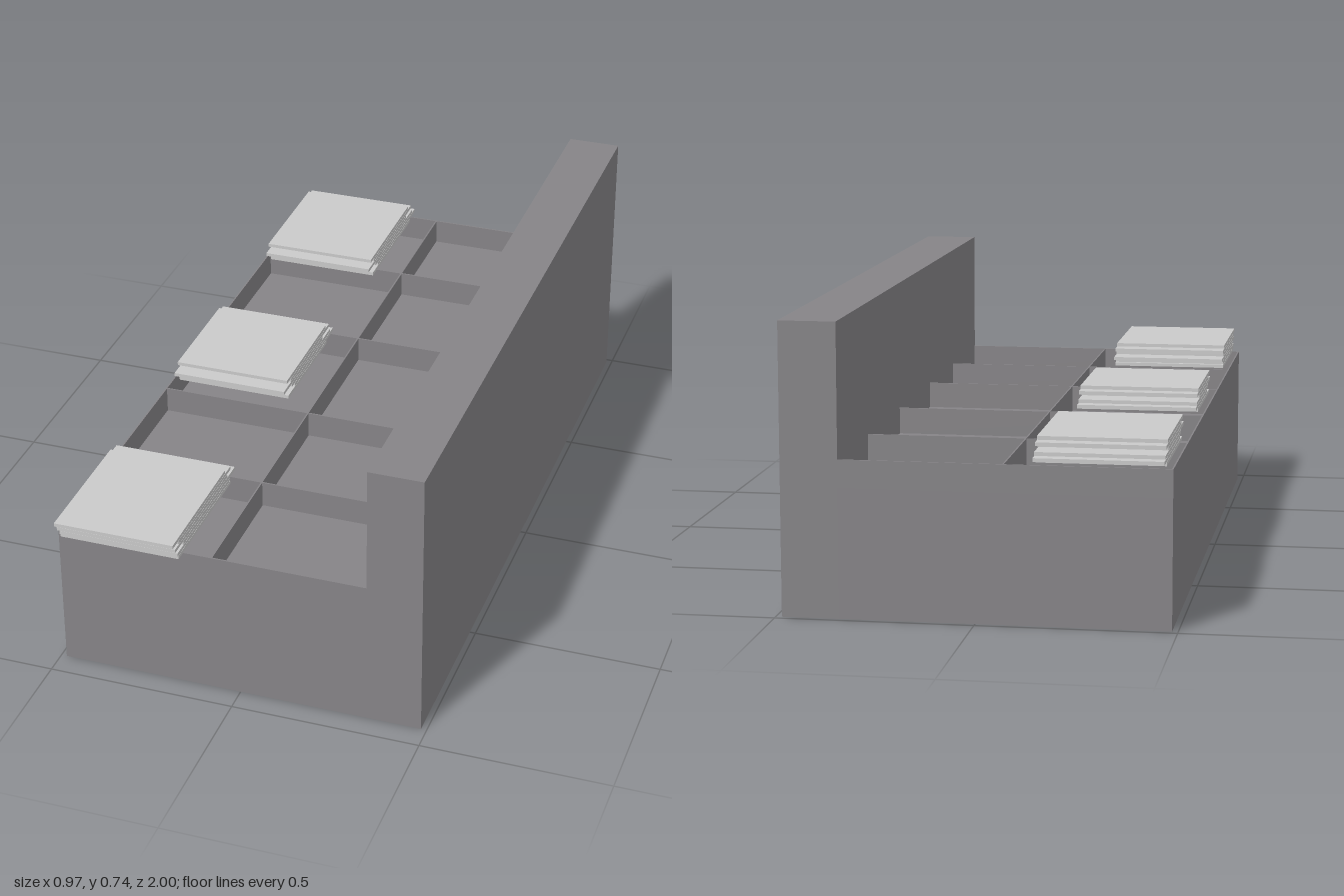
import * as THREE from 'three';

export function createModel() {
  const model = new THREE.Group();
  const grey = new THREE.MeshStandardMaterial({ color: 0x868487 });
  grey.name = 'counter grey';
  const pale = new THREE.MeshStandardMaterial({ color: 0xcacaca });
  pale.name = 'paper grey';

  // Box given by its limits on each axis
  const box = (name, mat, x0, x1, y0, y1, z0, z1, parent = model) => {
    const mesh = new THREE.Mesh(new THREE.BoxGeometry(x1 - x0, y1 - y0, z1 - z0), mat);
    mesh.position.set((x0 + x1) / 2, (y0 + y1) / 2, (z0 + z1) / 2);
    mesh.name = name;
    parent.add(mesh);
  };

  const X0 = -0.485, X1 = 0.485, Z0 = -0.985, Z1 = 0.935;
  const wallX = 0.34, midX = -0.07, floorY = 0.33, rimY = 0.4, t = 0.004;

  // Counter base and tall side panel
  box('base', grey, X0, wallX, 0, floorY, Z0, Z1);
  box('tallPanel', grey, wallX, X1, 0, 0.74, Z0, Z1);

  // Thin rims around the tray
  box('longRim', grey, X0, X0 + t, floorY, rimY, Z0, Z1);
  box('backRim', grey, X0, wallX, floorY, rimY, Z0, Z0 + t);
  box('frontRim', grey, X0, wallX, floorY, rimY, Z1 - t, Z1);

  // Dividers between the compartments
  box('middleDivider', grey, midX - t / 2, midX + t / 2, floorY, rimY, Z0, Z1);
  for (const z of [-0.63, -0.225, 0.203, 0.567]) {
    box('crossDivider', grey, X0, wallX, floorY, rimY, z - t / 2, z + t / 2);
  }

  // Loose stacks of sheets: length, then the back edge of each sheet from the bottom up
  const stacks = [
    { name: 'backStack', length: 0.36, starts: [-0.95, -1, -0.975, -0.91, -0.96, -0.93] },
    { name: 'middleStack', length: 0.32, starts: [-0.17, -0.225, -0.2, -0.135, -0.19, -0.16] },
    { name: 'frontStack', length: 0.365, starts: [0.6, 0.605, 0.565, 0.62, 0.595, 0.635] },
  ];
  const pitch = 0.0105;
  for (const { name, length, starts } of stacks) {
    const stack = new THREE.Group();
    stack.name = name;
    starts.forEach((z, i) => {
      const y = rimY + 0.0005 + i * pitch;
      box('sheet', pale, -0.465, -0.145, y, y + 0.0095, z, z + length, stack);
    });
    model.add(stack);
  }
  return model;
}
